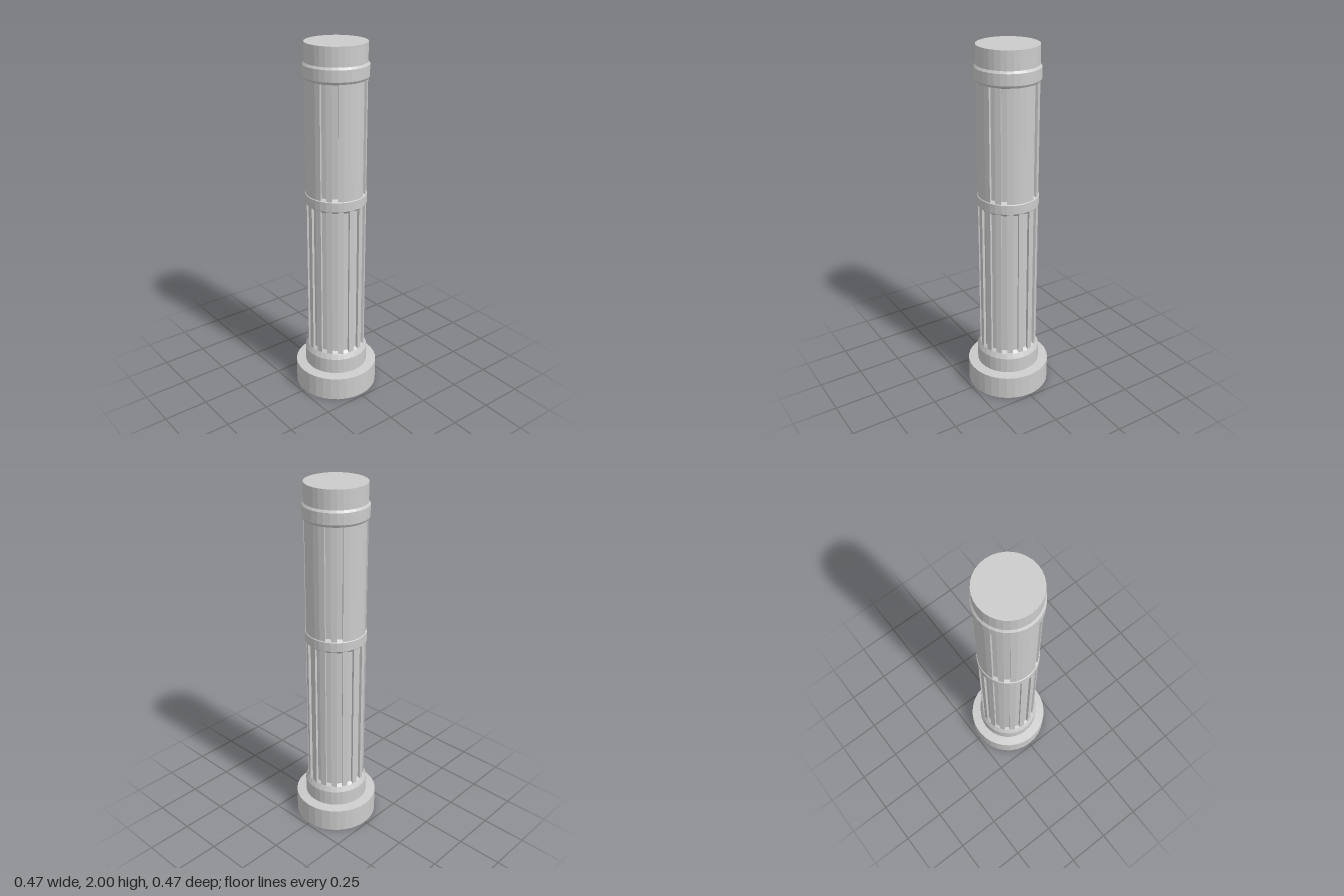
import * as THREE from 'three';

const SIDES = 32;
const STEP = (Math.PI * 2) / SIDES;
const OUTER = 0.164; // shaft surface
const INNER = 0.15; // bottom of the flutes

export function createModel() {
  const column = new THREE.Group();
  column.name = 'column';
  const material = new THREE.MeshStandardMaterial({ color: 0xcccccc, flatShading: true });

  function add(name, geometry) {
    const mesh = new THREE.Mesh(geometry, material);
    mesh.name = name;
    column.add(mesh);
  }

  // Turned part from [radius, height] pairs, bottom to top
  function turned(name, profile) {
    add(name, new THREE.LatheGeometry(profile.map(([r, y]) => new THREE.Vector2(r, y)), SIDES));
  }

  // Shaft section whose chosen sides are sunk into flutes
  function fluted(name, bottom, top, isFlute) {
    const points = [];
    for (let i = 0; i < SIDES; i++) {
      const r = isFlute(i) ? INNER : OUTER;
      for (const a of [i * STEP, (i + 1) * STEP]) {
        const p = new THREE.Vector2(Math.sin(a) * r, -Math.cos(a) * r);
        if (!points.length || points[points.length - 1].distanceTo(p) > 1e-6) points.push(p);
      }
    }
    if (points[0].distanceTo(points[points.length - 1]) < 1e-6) points.pop();
    const geometry = new THREE.ExtrudeGeometry(new THREE.Shape(points), {
      depth: top - bottom, bevelEnabled: false,
    });
    geometry.rotateX(-Math.PI / 2);
    geometry.translate(0, bottom, 0);
    add(name, geometry);
  }

  // Round foot and the sloped collar above it
  turned('base', [[0, 0], [0.234, 0], [0.234, 0.137], [0.175, 0.143], [0, 0.143]]);
  turned('lowerCollar', [[0.179, 0.14], [0.179, 0.232], [0.165, 0.26], [INNER, 0.275], [0, 0.275]]);

  // Close flutes below, a few paired flutes between broad panels above
  fluted('lowerShaft', 0.24, 1.17, (i) => i % 2 === 0);
  fluted('upperShaft', 1.17, 1.86, (i) => i % 8 === 2 || i % 8 === 4);

  // Bands around the shaft
  turned('middleBand', [[INNER, 1.125], [0.168, 1.142], [0.168, 1.193], [INNER, 1.207]]);
  turned('upperBand', [[INNER, 1.81], [0.165, 1.815], [0.173, 1.828], [0.173, 1.888], [0.164, 1.9], [INNER, 1.9]]);

  // Plain drum at the top
  turned('topDrum', [[0, 1.86], [OUTER, 1.86], [OUTER, 2], [0, 2]]);

  return column;
}
